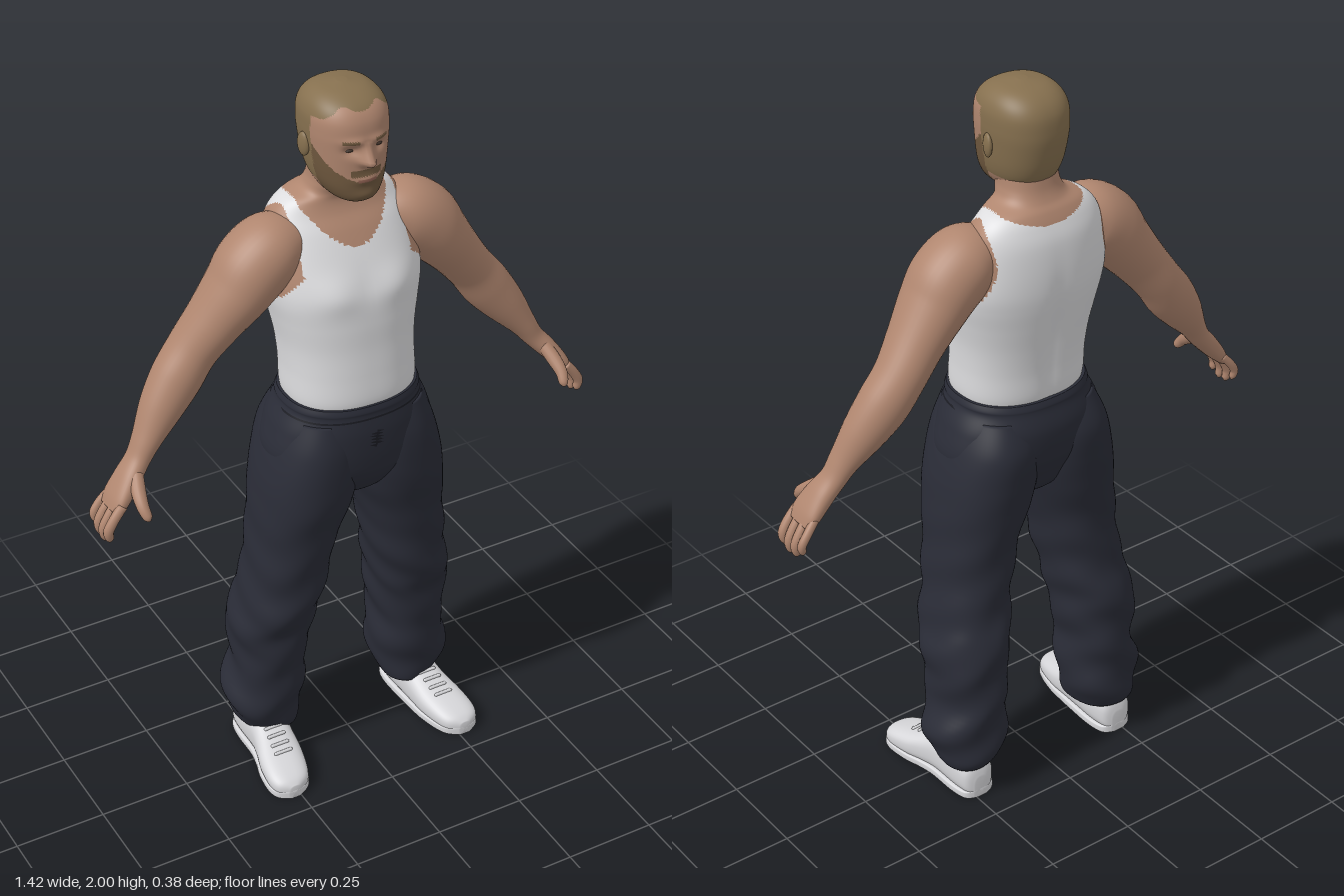
import * as THREE from 'three';

const V = (x, y, z) => new THREE.Vector3(x, y, z);
const mat = (name, color) => {
  const m = new THREE.MeshStandardMaterial({ color });
  m.name = name;
  return m;
};
const bump = (d, w) => Math.exp(-(d / w) * (d / w));
const clamp = THREE.MathUtils.clamp;

// Catmull-Rom through rows of numbers
function sample(rows, t) {
  const f = t * (rows.length - 1), i = Math.min(Math.floor(f), rows.length - 2), s = f - i;
  const row = k => rows[clamp(k, 0, rows.length - 1)];
  const [a, b, c, d] = [row(i - 1), row(i), row(i + 1), row(i + 2)];
  return b.map((p, k) => 0.5 * (2 * p + (c[k] - a[k]) * s + (2 * a[k] - 5 * p + 4 * c[k] - d[k]) * s * s
    + (3 * p - a[k] - 3 * c[k] + d[k]) * s * s * s));
}

// Skin superellipse rings; a row is [x, y, z, radiusU, radiusV, exponent]
function loft(rows, { nu = 48, nv = 48, axis = null, side = V(0, 0, -1), warp = null, paint = null } = {}) {
  const pos = [], tris = [];
  const pw = (c, n) => Math.sign(c) * Math.pow(Math.abs(c), 2 / n);
  const add = p => { if (warp) warp(p); pos.push(p.x, p.y, p.z); };
  const centre = t => V(...sample(rows, t).slice(0, 3));
  for (let i = 0; i <= nv; i++) {
    const t = i / nv, [x, y, z, ru, rv, n] = sample(rows, t);
    const dir = axis || centre(Math.min(1, t + 0.01)).sub(centre(Math.max(0, t - 0.01))).normalize();
    const v = side.clone().addScaledVector(dir, -side.dot(dir)).normalize();
    const u = v.clone().cross(dir);
    for (let j = 0; j < nu; j++) {
      const a = j / nu * Math.PI * 2;
      add(V(x, y, z).addScaledVector(u, ru * pw(Math.cos(a), n)).addScaledVector(v, rv * pw(Math.sin(a), n)));
    }
  }
  add(centre(0));
  add(centre(1));
  const c0 = (nv + 1) * nu;
  for (let j = 0; j < nu; j++) {
    const k = (j + 1) % nu;
    tris.push([c0, k, j], [c0 + 1, nv * nu + j, nv * nu + k]);
    for (let i = 0; i < nv; i++) {
      const a = i * nu + j, b = i * nu + k;
      tris.push([a, b, a + nu], [b, b + nu, a + nu]);
    }
  }
  const g = new THREE.BufferGeometry();
  g.setAttribute('position', new THREE.Float32BufferAttribute(pos, 3));
  if (paint) {
    const bins = [];
    for (const t of tris) {
      const m = [0, 1, 2].map(k => t.reduce((s, q) => s + pos[q * 3 + k], 0) / 3);
      (bins[paint(...m)] ||= []).push(t);
    }
    let start = 0;
    bins.forEach((b, i) => { g.addGroup(start, b.length * 3, i); start += b.length * 3; });
    g.setIndex(bins.flat(2));
  } else g.setIndex(tris.flat());
  g.computeVertexNormals();
  return g;
}

// Horizontal section from its extents
const sec = ([y, x0, x1, z0, z1, n = 2.3]) => [(x0 + x1) / 2, y, (z0 + z1) / 2, (x1 - x0) / 2, (z1 - z0) / 2, n];
const sym = ([y, r, z0, z1, n]) => sec([y, -r, r, z0, z1, n]);
const UP = V(0, 1, 0);

export function createModel() {
  const model = new THREE.Group();
  model.name = 'man';
  const skin = mat('skin', 0xb0866f), hair = mat('hair', 0x86704f), beard = mat('beard', 0x70593f);
  const lips = mat('lips', 0x8f6152), eye = mat('eye', 0x40332b), shirt = mat('shirt', 0xdcdcde);
  const cloth = mat('trousers', 0x2a2c37), seam = mat('seam', 0x1a1b22), shoeMat = mat('shoe', 0xd6d6d9);

  const put = (name, g, m) => {
    const mesh = new THREE.Mesh(g, m);
    mesh.name = name;
    model.add(mesh);
  };
  const pair = (name, g, m) => {
    put('left' + name, g, m);
    const r = g.clone().scale(-1, 1, 1), ix = r.index.array;
    for (let i = 0; i < ix.length; i += 3) [ix[i], ix[i + 1]] = [ix[i + 1], ix[i]];
    put('right' + name, r, m);
  };

  // Torso and neck: vest with neckline and armholes, skin elsewhere
  const torso = [
    [1.14, .168, -.14, .136], [1.18, .175, -.15, .143], [1.25, .175, -.155, .137], [1.32, .18, -.165, .13],
    [1.39, .193, -.178, .126], [1.45, .206, -.188, .118], [1.5, .21, -.192, .1], [1.56, .202, -.19, .074],
    [1.62, .188, -.182, .042], [1.66, .17, -.168, .015], [1.69, .14, -.152, .004], [1.71, .095, -.136, .008],
    [1.735, .08, -.124, .02], [1.77, .076, -.116, .03], [1.8, .074, -.11, .03]].map(sym);
  put('torso', loft(torso, {
    axis: UP, nu: 112, nv: 110,
    warp: p => {
      if (p.z > 0) p.z += 0.012 * bump(Math.abs(p.x) - .085, .06) * bump(p.y - 1.485, .045);
      else p.z += 0.01 * bump(p.x, .025) * bump(p.y - 1.35, .15);
    },
    paint: (x, y, z) => {
      const ax = Math.abs(x), front = clamp((z + .1) / .05, 0, 1);
      const neck = y > 1.705 || (ax < .122 && y > 1.665 - .08 * front + (2 + 4.6 * front) * x * x);
      const hole = ax > .15 && ((z + .04) / .105) ** 2 + ((y - 1.57) / .115) ** 2 < 1;
      return neck || hole ? 1 : 0;
    },
  }), [shirt, skin]);

  // Head with hair, beard, nose, brow and eye sockets
  const head = [
    [1.716, .03, -.02, .07], [1.73, .06, -.08, .09], [1.76, .081, -.115, .097], [1.8, .093, -.135, .098],
    [1.86, .101, -.148, .099], [1.9, .104, -.15, .098], [1.94, .102, -.144, .09], [1.97, .088, -.124, .068],
    [1.99, .06, -.09, .03], [2.0, .012, -.04, -.015]].map(sym);
  put('head', loft(head, {
    axis: UP, nu: 112, nv: 96,
    warp: p => {
      if (p.z < .02) return;
      const ax = Math.abs(p.x), { x, y } = p;
      const s = y > 1.838 ? clamp((1.892 - y) / .054, 0, 1) : clamp((y - 1.82) / .018, 0, 1);
      p.z += .036 * s * bump(x, .012 + .006 * s) + .006 * bump(y - 1.893, .01) * bump(ax - .03, .03)
        - .012 * bump(ax - .038, .018) * bump(y - 1.868, .013)
        + .006 * bump(x, .03) * bump(y - 1.787, .012) + .006 * bump(x, .03) * bump(y - 1.745, .015);
    },
    paint: (x, y, z) => {
      const ax = Math.abs(x);
      if (z > .07 && ax < .024 && Math.abs(y - 1.786) < .004) return 3;
      if (y < 1.785 + (.1 - z) * .85 && z > 0) return z > .09 && ax < .042 && y > 1.815 ? 0 : 2;
      if (z > .06 && ax < .04 && y < 1.816 && y > 1.798) return 2;
      if (z > .05 && ax > .02 && ax < .06 && Math.abs(y - 1.893) < .004) return 2;
      const hairline = 1.962 + .012 * bump(ax - .045, .02) - .02 * bump(ax - .1, .03);
      return z < .002 || y > hairline ? (y < 1.765 ? 0 : 1) : 0;
    },
  }), [skin, hair, beard, lips]);
  pair('Eye', new THREE.SphereGeometry(1, 16, 10).scale(.012, .0045, .006).translate(.038, 1.868, .08), eye);
  pair('Ear', new THREE.SphereGeometry(1, 16, 12).scale(.01, .032, .02).rotateY(-.25).translate(.104, 1.852, -.03), hair);

  // Arm from shoulder to palm, then fingers and thumb
  pair('Arm', loft([
    [.13, 1.6, -.055, .06, .07, 2], [.185, 1.582, -.05, .088, .095, 2], [.24, 1.54, -.048, .094, .1, 2],
    [.285, 1.485, -.05, .083, .095, 2], [.345, 1.41, -.06, .07, .08, 2], [.4, 1.338, -.07, .064, .07, 2],
    [.45, 1.27, -.066, .066, .066, 2], [.5, 1.205, -.055, .056, .057, 2], [.55, 1.135, -.04, .037, .043, 2],
    [.58, 1.09, -.033, .029, .038, 2.1], [.615, 1.05, -.023, .027, .044, 2.3],
    [.648, 1.01, -.016, .022, .049, 2.5], [.668, .982, -.014, .014, .044, 2.5]], { nu: 36, nv: 90 }), skin);
  for (let i = 0; i < 4; i++) {
    const z = .024 - .026 * i, drop = [.012, 0, .003, .02][i], r = i === 3 ? .0115 : .0135;
    pair('Finger' + (i + 1), loft([
      [.652, 1.005, z, r, r, 2], [.678, .97 + drop * .3, z * 1.1, r, r, 2], [.695, .935 + drop * .7, z * 1.1, r, r, 2],
      [.692, .908 + drop, z * 1.05, r * .8, r * .8, 2], [.688, .9 + drop, z * 1.05, r * .2, r * .2, 2]],
    { nu: 14, nv: 16 }), skin);
  }
  pair('Thumb', loft([
    [.598, 1.07, -.005, .018, .018, 2], [.61, 1.04, .03, .019, .019, 2], [.615, 1.015, .062, .016, .016, 2],
    [.611, .992, .082, .012, .012, 2], [.608, .984, .088, .003, .003, 2]], { nu: 16, nv: 18, side: V(1, 0, 0) }), skin);

  // Trousers: hips with fly seam, then loose legs with folds
  put('hips', loft([
    [.845, .03, -.06, .05], [.88, .1, -.12, .1], [.94, .19, -.15, .138], [1, .232, -.17, .151],
    [1.08, .214, -.176, .155], [1.135, .188, -.162, .15], [1.15, .186, -.16, .151], [1.165, .18, -.154, .147]].map(sym), {
    axis: UP, nu: 96, nv: 60,
    paint: (x, y, z) => z > 0 && ((Math.abs(x) < .007 && y > 1.01 && y < 1.09) || Math.abs(y - 1.128) < .003) ? 1 : 0,
  }), [cloth, seam]);
  pair('TrouserLeg', loft([
    [.095, .145, .3, -.165, .02], [.13, .135, .315, -.18, .03], [.2, .115, .333, -.185, .036], [.3, .12, .306, -.185, .05],
    [.42, .105, .318, -.184, .062], [.5, .095, .305, -.178, .088], [.6, .075, .286, -.154, .1], [.75, .045, .271, -.152, .116],
    [.86, .008, .262, -.166, .14], [.95, -.008, .248, -.176, .149], [1.04, -.004, .222, -.178, .148],
    [1.12, .004, .188, -.145, .13]].map(sec), {
    axis: UP, nu: 64, nv: 90,
    warp: p => {
      const w = clamp((.95 - p.y) / .5, 0, 1), { x, y, z } = p;
      p.x += .004 * w * Math.sin(48 * y + 22 * z);
      p.z += .005 * w * Math.sin(40 * y + 25 * x);
    },
  }), cloth);

  // Shoes: upper, flat sole and laces
  const shoe = [
    [-.165, .235, .02, .06], [-.15, .235, .045, .1], [-.1, .235, .055, .12], [-.02, .237, .055, .122], [.03, .243, .058, .102],
    [.08, .252, .063, .082], [.14, .262, .059, .064], [.175, .266, .045, .05], [.193, .267, .015, .035]];
  const along = { axis: V(0, 0, 1), side: UP, nu: 40, nv: 40 };
  pair('Shoe', loft(shoe.map(([z, x, w, h]) => [x, h / 2 + .004, z, w, h / 2, 2.6]), along), shoeMat);
  pair('Sole', loft(shoe.map(([z, x, w]) => [x, .0125, z, w + .002, .0125, 6]), along), shoeMat);
  [.02, .045, .07, .095].forEach((z, i) => pair('Lace' + (i + 1),
    new THREE.CapsuleGeometry(.005, .045, 4, 8).rotateZ(Math.PI / 2).translate(.243 + .003 * i, [.109, .1, .089, .081][i], z),
    shoeMat));
  return model;
}
